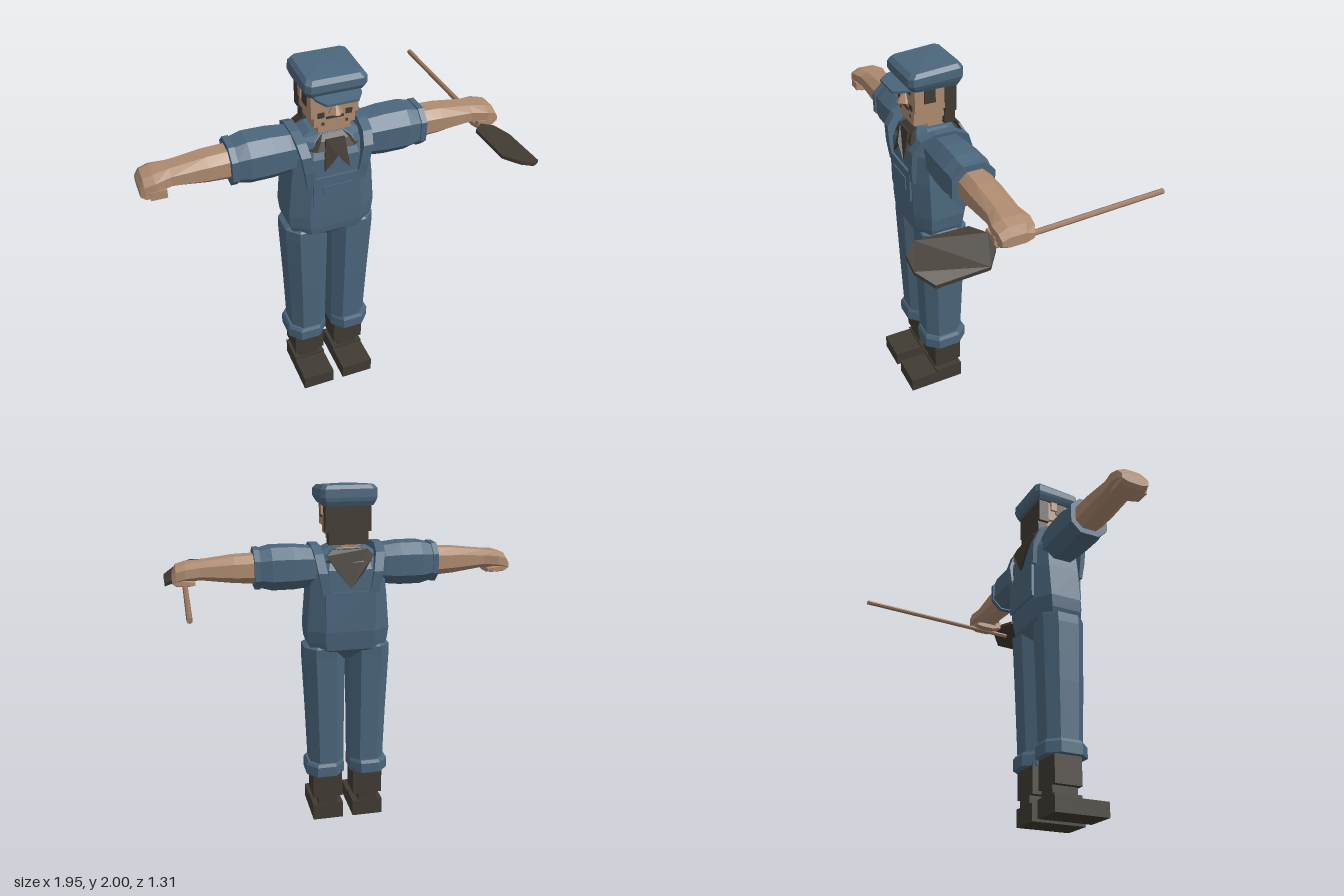
import * as THREE from 'three';

const mat = (name, color) => {
  const m = new THREE.MeshStandardMaterial({ color, flatShading: true, side: THREE.DoubleSide });
  m.name = name;
  return m;
};

// Loft of eight-sided rings along y: [y, cx, cz, halfX, halfZ]; k sets the corner cut
function loft(rings, k = 0.5) {
  const oct = [[1, k], [k, 1], [-k, 1], [-1, k], [-1, -k], [-k, -1], [k, -1], [1, -k]];
  const pts = rings.map(([y, cx, cz, hx, hz]) => oct.map(([a, b]) => [cx + a * hx, y, cz + b * hz]));
  const out = [];
  const tri = (...v) => v.forEach((p) => out.push(...p));
  const last = rings.length - 1;
  const mid = (i) => [rings[i][1], rings[i][0], rings[i][2]];
  for (let j = 0; j < 8; j++) {
    const n = (j + 1) % 8;
    for (let i = 0; i < last; i++) {
      tri(pts[i][j], pts[i + 1][j], pts[i][n]);
      tri(pts[i][n], pts[i + 1][j], pts[i + 1][n]);
    }
    tri(mid(0), pts[0][j], pts[0][n]);
    tri(mid(last), pts[last][n], pts[last][j]);
  }
  const g = new THREE.BufferGeometry();
  g.setAttribute('position', new THREE.Float32BufferAttribute(out, 3));
  g.computeVertexNormals();
  return g;
}

// Loft along x: [x, cy, cz, halfY, halfZ]
const limb = (rings, k) =>
  loft(rings.map(([x, cy, cz, hy, hz]) => [x, -cy, cz, hy, hz]), k).rotateZ(-Math.PI / 2);

// Box given by its limits
const box = (x0, x1, y0, y1, z0, z1) =>
  new THREE.BoxGeometry(x1 - x0, y1 - y0, z1 - z0).translate((x0 + x1) / 2, (y0 + y1) / 2, (z0 + z1) / 2);

const plate = (points, depth) =>
  new THREE.ExtrudeGeometry(new THREE.Shape(points.map((p) => new THREE.Vector2(...p))), { depth, bevelEnabled: false });

// Moves every vertex by a rule
function bend(g, rule) {
  const p = g.attributes.position;
  for (let i = 0; i < p.count; i++) p.setXYZ(i, ...rule(p.getX(i), p.getY(i), p.getZ(i)));
  g.computeVertexNormals();
  return g;
}

// Mirrors in x and restores the corner order
function mirrored(geo) {
  const g = geo.index ? geo.toNonIndexed() : geo.clone();
  g.scale(-1, 1, 1);
  const p = g.attributes.position;
  const v = new THREE.Vector3(), w = new THREE.Vector3();
  for (let i = 0; i < p.count; i += 3) {
    v.fromBufferAttribute(p, i + 1);
    w.fromBufferAttribute(p, i + 2);
    p.setXYZ(i + 1, w.x, w.y, w.z);
    p.setXYZ(i + 2, v.x, v.y, v.z);
  }
  g.computeVertexNormals();
  return g;
}

export function createModel() {
  const blue = mat('denim blue', 0x4b667c);
  const skin = mat('skin', 0xae8b70);
  const dark = mat('dark leather', 0x403a32);
  const wood = mat('wood', 0x9a7860);

  const model = new THREE.Group();
  model.name = 'worker';
  const body = new THREE.Group();
  body.name = 'body';
  body.position.x = -0.025;
  model.add(body);

  const add = (name, geo, material, parent = body) => {
    const m = new THREE.Mesh(geo, material);
    m.name = name;
    parent.add(m);
  };
  const pair = (name, geo, material) => {
    add('left' + name, geo, material);
    add('right' + name, mirrored(geo), material);
  };

  // Torso and overalls
  add('torso', loft([
    [1.02, 0, 0.18, 0.035, 0.07], [1.09, 0, 0.18, 0.215, 0.14], [1.13, 0, 0.18, 0.228, 0.146],
    [1.2, 0, 0.176, 0.235, 0.153], [1.4, 0, 0.174, 0.218, 0.155], [1.55, 0, 0.172, 0.2, 0.15],
    [1.63, 0, 0.172, 0.17, 0.11], [1.665, 0, 0.172, 0.1, 0.09]], 0.6), blue);
  add('bib', plate([[-0.1, 1.24], [0.1, 1.24], [0.125, 1.28], [0.125, 1.45], [-0.125, 1.45], [-0.125, 1.28]], 0.02)
    .translate(0, 0, 0.32), blue);
  add('bibPocket', box(-0.078, 0.078, 1.325, 1.4, 0.335, 0.346), blue);
  add('backPanel', box(-0.14, 0.14, 1.22, 1.43, 0.01, 0.03), blue);
  const strap = plate([
    [0.335, 1.4], [0.345, 1.5], [0.343, 1.59], [0.3, 1.65], [0.22, 1.678], [0.12, 1.678], [0.04, 1.64],
    [0.003, 1.54], [0.008, 1.42], [0.035, 1.42], [0.03, 1.52], [0.06, 1.6], [0.13, 1.64], [0.22, 1.64],
    [0.28, 1.61], [0.315, 1.55], [0.315, 1.4]], 0.05).rotateY(-Math.PI / 2).translate(0.155, 0, 0);
  pair('Strap', bend(strap, (x, y, z) => [x + (y - 1.4) * 0.17, y, z]), blue);

  // Neckerchief with two tails in front and a point behind
  add('neckerchief', loft([[1.59, 0, 0.172, 0.165, 0.145], [1.635, 0, 0.172, 0.12, 0.125], [1.66, 0, 0.172, 0.09, 0.095]], 0.6), dark);
  add('neckerchiefTails', bend(
    plate([[-0.05, 1.645], [-0.068, 1.49], [-0.03, 1.53], [0, 1.57], [0.03, 1.53], [0.066, 1.49], [0.05, 1.645]], 0.012),
    (x, y, z) => [x, y, z + 0.333 - Math.max(0, y - 1.57) * 0.5]), dark);
  add('neckerchiefBack', bend(
    plate([[0, 1.45], [0.08, 1.55], [0.13, 1.63], [0.1, 1.66], [-0.1, 1.66], [-0.13, 1.63], [-0.08, 1.55]], 0.012),
    (x, y, z) => [x, y, z + 0.005 + Math.max(0, y - 1.57) * 0.4]), dark);

  // Arms, sleeves and hands
  pair('Sleeve', limb([
    [0.15, 1.555, 0.17, 0.095, 0.1], [0.21, 1.555, 0.168, 0.108, 0.108], [0.3, 1.555, 0.168, 0.117, 0.115],
    [0.42, 1.555, 0.168, 0.117, 0.117], [0.49, 1.555, 0.17, 0.1, 0.105]]), blue);
  pair('SleeveCuff', limb([[0.484, 1.555, 0.171, 0.108, 0.113], [0.515, 1.555, 0.171, 0.108, 0.113]]), blue);
  pair('Forearm', limb([
    [0.5, 1.555, 0.168, 0.078, 0.082], [0.62, 1.557, 0.17, 0.072, 0.084], [0.8, 1.558, 0.172, 0.05, 0.077],
    [0.88, 1.553, 0.175, 0.048, 0.095], [0.93, 1.54, 0.175, 0.046, 0.09], [0.952, 1.52, 0.175, 0.026, 0.08]]), skin);
  pair('Fingers', limb([
    [0.83, 1.493, 0.175, 0.014, 0.07], [0.86, 1.497, 0.175, 0.022, 0.08],
    [0.93, 1.505, 0.175, 0.028, 0.08], [0.95, 1.515, 0.175, 0.02, 0.075]]), skin);
  pair('Thumb', box(0.83, 0.91, 1.49, 1.535, 0.235, 0.272), skin);

  // Legs and boots
  pair('TrouserLeg', loft([
    [0.32, 0.12, 0.182, 0.1, 0.106], [0.7, 0.125, 0.182, 0.108, 0.117], [1.04, 0.13, 0.18, 0.118, 0.126],
    [1.095, 0.13, 0.178, 0.116, 0.128], [1.11, 0.125, 0.178, 0.095, 0.11]]), blue);
  pair('TrouserCuff', loft([
    [0.3, 0.132, 0.18, 0.113, 0.125], [0.36, 0.132, 0.18, 0.113, 0.125], [0.378, 0.128, 0.18, 0.106, 0.115]]), blue);
  pair('BootShaft', box(0.034, 0.21, 0.145, 0.32, 0.095, 0.255), dark);
  pair('BootAnkle', box(0.067, 0.18, 0.08, 0.15, 0.095, 0.243), dark);
  pair('BootFoot', box(0.03, 0.213, 0, 0.083, 0.09, 0.41), dark);
  pair('BootHeel', box(0.03, 0.213, 0.08, 0.098, 0.09, 0.25), dark);

  // Head, neck and hair
  add('neck', loft([[1.6, 0, 0.17, 0.08, 0.08], [1.72, 0, 0.17, 0.08, 0.08]]), skin);
  add('head', box(-0.122, 0.122, 1.77, 1.92, 0.1, 0.293), skin);
  add('cheeks', box(-0.105, 0.105, 1.72, 1.78, 0.1, 0.293), skin);
  add('chin', box(-0.085, 0.085, 1.685, 1.73, 0.12, 0.288), skin);
  add('backHair', box(-0.127, 0.127, 1.75, 1.91, 0.073, 0.135), dark);
  add('napeHair', box(-0.11, 0.11, 1.68, 1.76, 0.073, 0.132), dark);
  pair('Sideburn', box(0.12, 0.128, 1.815, 1.91, 0.185, 0.245), dark);
  pair('Ear', box(0.12, 0.136, 1.835, 1.89, 0.15, 0.188), skin);

  // Face
  add('nose', loft([[1.79, 0, 0.295, 0.035, 0.042], [1.852, 0, 0.292, 0.004, 0.006]], 0.3), skin);
  pair('Eye', box(0.04, 0.075, 1.85, 1.866, 0.29, 0.298), dark);
  pair('CheekMark', box(0.055, 0.088, 1.768, 1.796, 0.29, 0.297), dark);
  pair('StubbleDot', box(0.055, 0.068, 1.727, 1.741, 0.29, 0.297), dark);
  add('mouth', box(-0.045, 0.045, 1.758, 1.77, 0.29, 0.298), dark);

  // Flat cap, sloping down to the front
  const crown = loft([
    [1.89, 0, 0.18, 0.138, 0.125], [1.915, 0, 0.183, 0.15, 0.14], [1.935, 0, 0.185, 0.157, 0.145],
    [1.98, 0, 0.185, 0.155, 0.143], [2, 0, 0.18, 0.138, 0.125]], 0.85);
  add('capCrown', bend(crown, (x, y, z) => [x, y - Math.max(0, z - 0.19) * 1.6 * (y - 1.89), z]), blue);
  const visor = plate([[-0.125, 0.28], [0.125, 0.28], [0.115, 0.34], [0.08, 0.39], [-0.08, 0.39], [-0.115, 0.34]], 0.012)
    .rotateX(Math.PI / 2);
  add('capVisor', bend(visor, (x, y, z) => [x, y + 1.91 - (z - 0.28) * 0.16, z]), blue);

  // Shovel held in the left hand
  const shovel = new THREE.Group();
  shovel.name = 'shovel';
  model.add(shovel);
  const shaft = new THREE.CylinderGeometry(0.014, 0.014, 0.99, 8).rotateX(Math.PI / 2 + 0.034).translate(0.86, 1.487, -0.155);
  add('shovelShaft', shaft, wood, shovel);
  const blade = plate([
    [0.82, 0.27], [0.9, 0.27], [0.968, 0.33], [0.975, 0.59], [0.9, 0.655],
    [0.82, 0.655], [0.75, 0.59], [0.755, 0.33]], 0.018).rotateX(Math.PI / 2);
  add('shovelBlade', bend(blade, (x, y, z) => {
    const d = x - 0.86;
    return [x, y + 1.51 - 0.36 * d - 1.2 * d * d, z];
  }), dark, shovel);

  return model;
}
